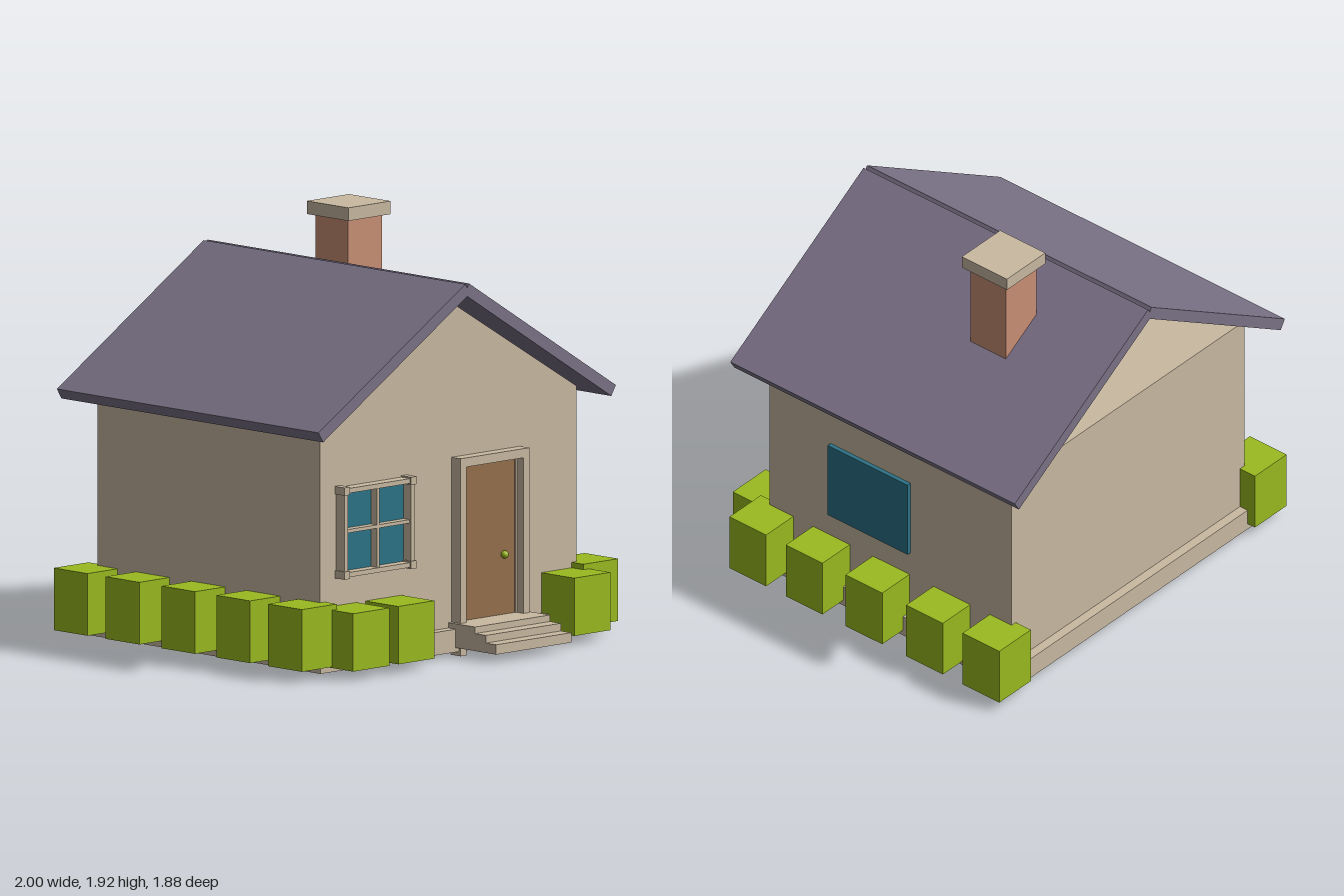
import * as THREE from 'three';

const mat = (name, color, extra = {}) => {
  const m = new THREE.MeshStandardMaterial({ color, ...extra });
  m.name = name;
  return m;
};

export function createModel() {
  const house = new THREE.Group();
  house.name = 'house';

  const tan = mat('plaster', 0xc9b9a1);
  const gableTan = mat('plaster', 0xc9b9a1, { side: THREE.DoubleSide });
  const slate = mat('roofSlate', 0x7b7287);
  const brick = mat('brick', 0xc98f75);
  const glass = mat('glass', 0x2b7388);
  const wood = mat('wood', 0x96704b);
  const leaf = mat('leaf', 0x9aba20);

  // Box given by its min and max on each axis
  const box = (name, material, [x0, x1], [y0, y1], [z0, z1], parent = house) => {
    const mesh = new THREE.Mesh(new THREE.BoxGeometry(x1 - x0, y1 - y0, z1 - z0), material);
    mesh.position.set((x0 + x1) / 2, (y0 + y1) / 2, (z0 + z1) / 2);
    mesh.name = name;
    parent.add(mesh);
    return mesh;
  };
  const group = (name) => {
    const g = new THREE.Group();
    g.name = name;
    house.add(g);
    return g;
  };

  // Body
  box('foundation', tan, [-0.855, 0.855], [0.02, 0.125], [-0.855, 0.675]);
  box('walls', tan, [-0.81, 0.81], [0.03, 1.14], [-0.81, 0.628]);

  // Front gable; the attic is open at the back
  const tri = new THREE.Shape([
    new THREE.Vector2(-0.81, 1.14), new THREE.Vector2(0.81, 1.14), new THREE.Vector2(0, 1.626),
  ]);
  const gable = new THREE.Mesh(new THREE.ShapeGeometry(tri), gableTan);
  gable.position.z = 0.628;
  gable.name = 'frontGable';
  house.add(gable);

  // Two roof slabs crossing at the ridge
  const roof = group('roof');
  const thick = 0.055;
  const eave = new THREE.Vector2(0.94, 1.143), ridge = new THREE.Vector2(0.012, 1.716);
  const run = eave.x - ridge.x, rise = ridge.y - eave.y;
  const length = Math.hypot(run, rise), pitch = Math.atan2(rise, run);
  for (const s of [-1, 1]) {
    const slab = new THREE.Mesh(new THREE.BoxGeometry(length, thick, 1.69), slate);
    slab.rotation.z = -s * pitch;
    slab.position.set(
      s * ((eave.x + ridge.x) / 2 - Math.sin(pitch) * thick / 2),
      (eave.y + ridge.y) / 2 - Math.cos(pitch) * thick / 2,
      -0.095,
    );
    slab.name = s > 0 ? 'roofSlabLeft' : 'roofSlabRight';
    roof.add(slab);
  }

  // Chimney
  box('chimney', brick, [0.225, 0.44], [1.32, 1.87], [-0.46, -0.25]);
  box('chimneyCap', tan, [0.2, 0.467], [1.865, 1.925], [-0.49, -0.222]);

  // Front window with frame, corner blocks and glazing bars
  const win = group('frontWindow');
  box('windowGlass', glass, [-0.7, -0.28], [0.455, 0.835], [0.62, 0.636], win);
  const wx = [-0.7, -0.28], wy = [0.455, 0.84];
  for (const x of wx) {
    box('windowSideBar', tan, [x - 0.011, x + 0.011], [0.445, 0.85], [0.62, 0.685], win);
    for (const y of wy) {
      box('windowCorner', tan, [x - 0.018, x + 0.018], [y - 0.018, y + 0.018], [0.62, 0.691], win);
    }
  }
  for (const y of wy) box('windowRail', tan, [-0.7, -0.28], [y - 0.011, y + 0.011], [0.62, 0.685], win);
  box('windowMullion', tan, [-0.498, -0.481], [0.455, 0.84], [0.62, 0.675], win);
  box('windowCrossbar', tan, [-0.7, -0.28], [0.645, 0.661], [0.62, 0.675], win);

  // Side window
  box('sideWindow', glass, [0.8, 0.83], [0.458, 0.845], [-0.21, 0.265]);

  // Door
  const door = group('frontDoor');
  box('doorPanel', wood, [0.062, 0.41], [0.13, 0.857], [0.62, 0.638], door);
  box('doorPostRight', tan, [0.02, 0.056], [0, 0.87], [0.62, 0.687], door);
  box('doorPostLeft', tan, [0.418, 0.454], [0, 0.87], [0.62, 0.687], door);
  box('doorLintel', tan, [0.02, 0.454], [0.863, 0.905], [0.62, 0.687], door);
  box('doorJambRight', tan, [0.05, 0.063], [0.13, 0.865], [0.62, 0.645], door);
  box('doorJambLeft', tan, [0.409, 0.42], [0.13, 0.865], [0.62, 0.645], door);
  const knob = new THREE.Mesh(new THREE.SphereGeometry(0.018, 16, 12), leaf);
  knob.position.set(0.335, 0.425, 0.65);
  knob.name = 'doorKnob';
  door.add(knob);

  // Front steps
  const steps = group('steps');
  [[0.04, 0.085, 0.937], [0.085, 0.12, 0.87], [0.12, 0.15, 0.8]].forEach(([y0, y1, z1]) =>
    box('step', tan, [0, 0.475], [y0, y1], [0.63, z1], steps));

  // Hedges along both sides and the front
  const bushes = group('bushes');
  for (const s of [-1, 1]) {
    for (const z of [-0.79, -0.455, -0.095, 0.26, 0.595]) {
      const bush = box('sideBush', leaf, [0.78, 1], [0.05, 0.335], [z - 0.109, z + 0.109], bushes);
      bush.position.x *= s;
    }
  }
  for (const x of [-0.695, -0.41, 0.703]) {
    box('frontBush', leaf, [x - 0.114, x + 0.114], [0.045, 0.31], [0.62, 0.84], bushes);
  }

  return house;
}
